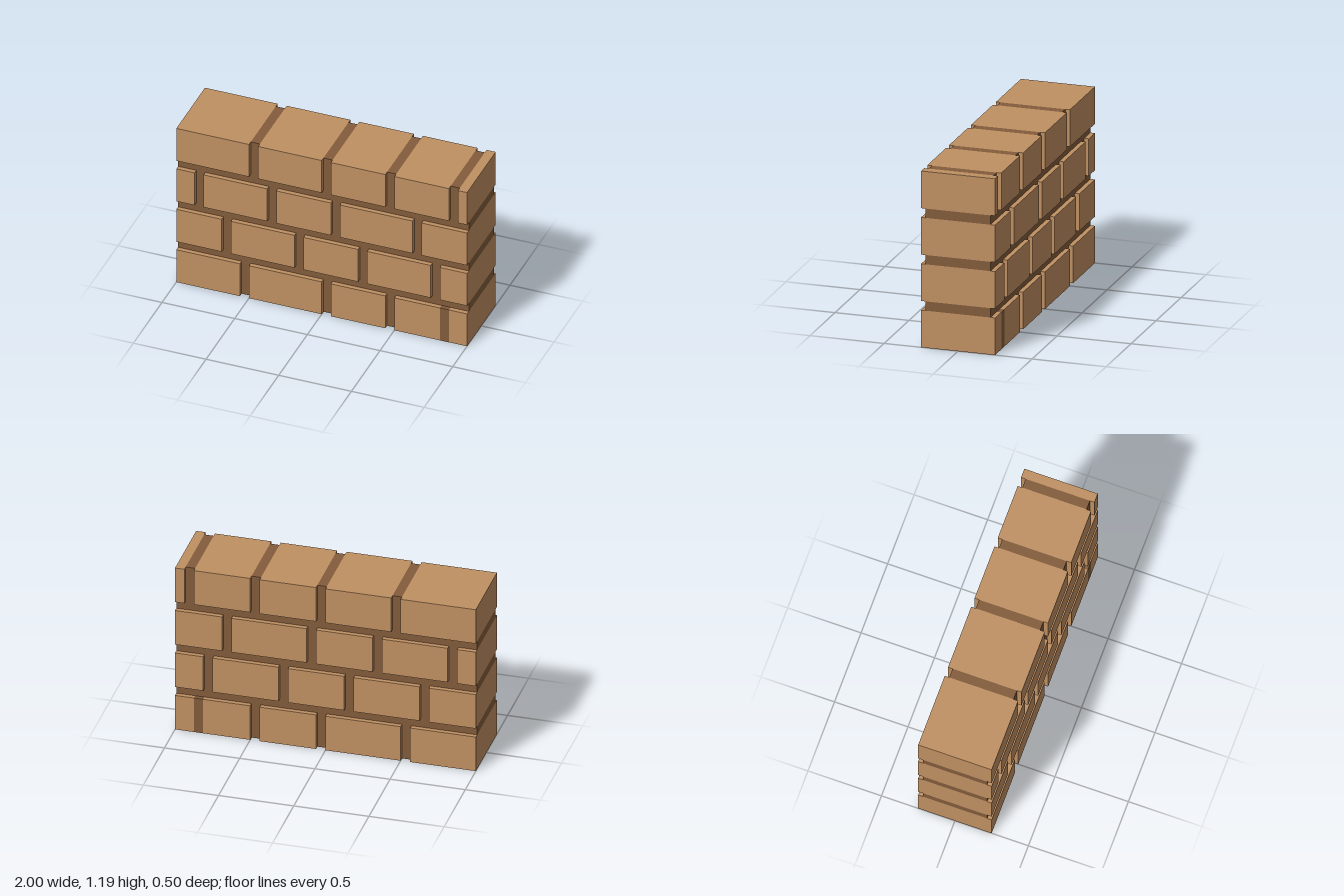
import * as THREE from 'three';

// One grid step: the wall is 32 steps wide, 19 high and 8 deep
const U = 2 / 32;
const WIDTH = 32, BRICK_H = 4, JOINT = 1;
const BRICK_D = 8, MORTAR_D = 7;

// Left edge of every upright joint, per course from the ground up
const COURSES = [
  [7, 16, 23, 29],
  [5, 13, 20, 28],
  [2, 10, 17, 26],
  [8, 16, 23, 30],
];

export function createModel() {
  const wall = new THREE.Group();
  wall.name = 'brickWall';

  const brick = new THREE.MeshStandardMaterial({ color: 0xc09062 });
  brick.name = 'brick';
  const mortar = new THREE.MeshStandardMaterial({ color: 0x835c3b });
  mortar.name = 'mortar';

  // Box from x0 to x1 and y0 to y1 in grid steps, centred in depth
  const block = (parent, name, material, x0, x1, y0, y1, depth) => {
    const mesh = new THREE.Mesh(
      new THREE.BoxGeometry((x1 - x0) * U, (y1 - y0) * U, depth * U), material);
    mesh.position.set(((x0 + x1) / 2 - WIDTH / 2) * U, ((y0 + y1) / 2) * U, 0);
    mesh.name = name;
    parent.add(mesh);
  };

  COURSES.forEach((joints, row) => {
    const course = new THREE.Group();
    course.name = `course${row + 1}`;
    wall.add(course);
    const y0 = row * (BRICK_H + JOINT), y1 = y0 + BRICK_H;

    // Bricks and the upright joints between them
    let x = 0;
    joints.forEach((j, i) => {
      block(course, 'brick', brick, x, j, y0, y1, BRICK_D);
      // The last joint of the bottom course is filled flush with the bricks
      const flush = row === 0 && i === joints.length - 1;
      block(course, flush ? 'flushJoint' : 'uprightJoint', mortar,
        j, j + JOINT, y0, y1, flush ? BRICK_D : MORTAR_D);
      x = j + JOINT;
    });
    block(course, 'brick', brick, x, WIDTH, y0, y1, BRICK_D);

    // Recessed mortar bed on top of the course
    if (row < COURSES.length - 1) {
      block(course, 'mortarBed', mortar, 0, WIDTH, y1, y1 + JOINT, MORTAR_D);
    }
  });

  return wall;
}
